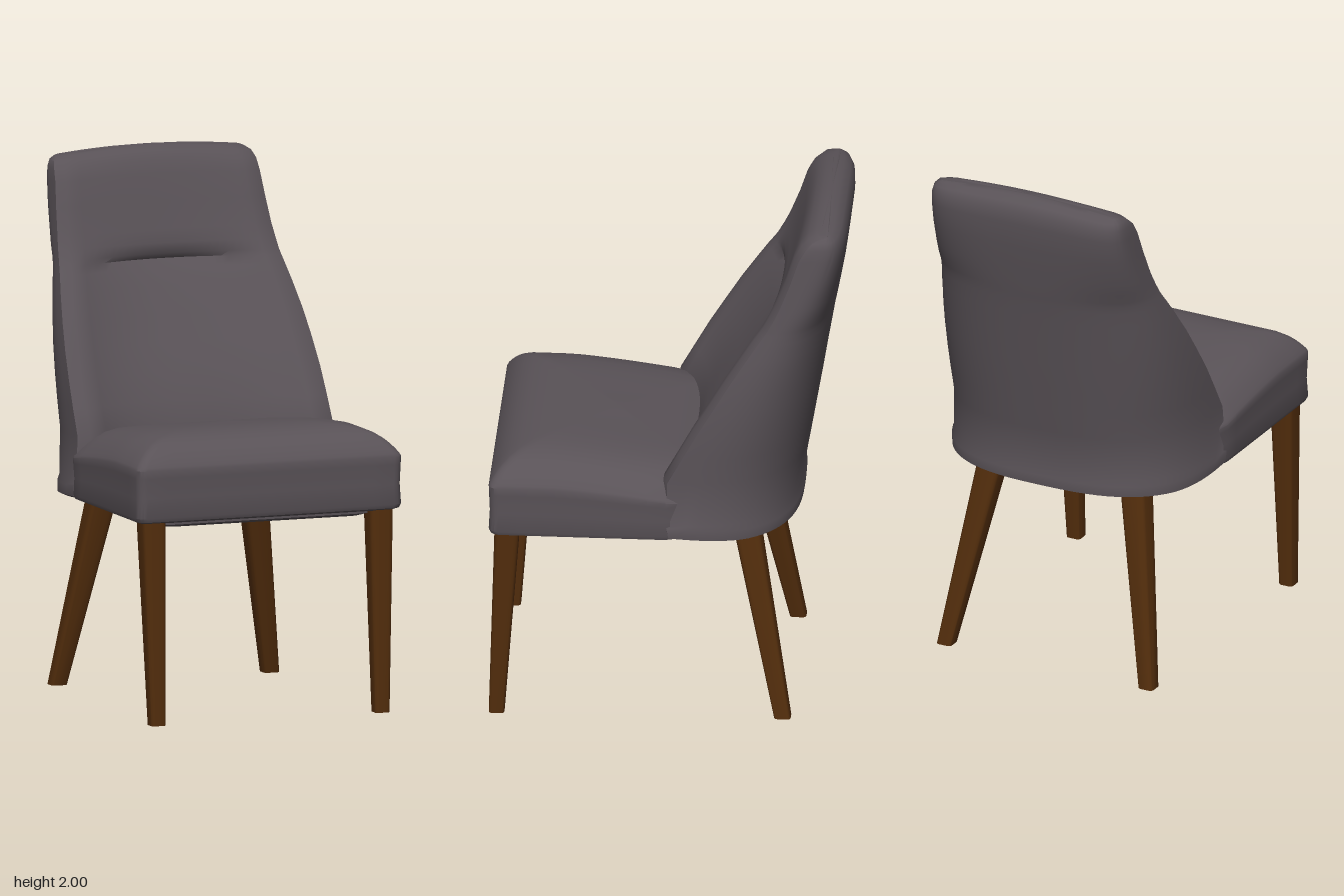
import * as THREE from 'three';
import { toCreasedNormals } from 'three/addons/utils/BufferGeometryUtils.js';

const { clamp, lerp } = THREE.MathUtils;

// Closed solid from horizontal rings, bottom to top, each anticlockwise seen from above
function loft(rings, crease = 0.9) {
  const n = rings[0].length;
  const pos = rings.flat(2);
  const index = [];
  for (let r = 0; r < rings.length - 1; r++) {
    for (let i = 0; i < n; i++) {
      const j = (i + 1) % n;
      const a = r * n + i, b = r * n + j, c = b + n, d = a + n;
      index.push(a, b, c, a, c, d);
    }
  }
  // fan caps
  [rings[0], rings[rings.length - 1]].forEach((ring, top) => {
    const centre = pos.length / 3;
    const mean = (k) => ring.reduce((s, p) => s + p[k], 0) / n;
    pos.push(mean(0), top ? Math.max(...ring.map((p) => p[1])) : mean(1), mean(2));
    const base = top ? (rings.length - 1) * n : 0;
    for (let i = 0; i < n; i++) {
      const a = base + i, b = base + ((i + 1) % n);
      if (top) index.push(centre, a, b);
      else index.push(centre, b, a);
    }
  });
  const geo = new THREE.BufferGeometry();
  geo.setAttribute('position', new THREE.Float32BufferAttribute(pos, 3));
  geo.setIndex(index);
  return toCreasedNormals(geo, crease);
}

// Rounded rectangle as [x, z] points
function roundedRect(hx, hz, radius, edgeSteps) {
  const corners = [[1, -1], [-1, -1], [-1, 1], [1, 1]];
  const pts = [];
  corners.forEach(([sx, sz], q) => {
    for (let k = 0; k <= 4; k++) {
      const a = (q + k / 4) * Math.PI / 2;
      pts.push([sx * (hx - radius) + radius * Math.cos(a), sz * (hz - radius) - radius * Math.sin(a)]);
    }
    const [nx, nz] = corners[(q + 1) % 4];
    const next = (q + 1) * Math.PI / 2;
    const end = [nx * (hx - radius) + radius * Math.cos(next), nz * (hz - radius) - radius * Math.sin(next)];
    const start = pts[pts.length - 1];
    for (let k = 1; k < edgeSteps; k++) {
      const t = k / edgeSteps;
      pts.push([lerp(start[0], end[0], t), lerp(start[1], end[1], t)]);
    }
  });
  return pts;
}

// Seat cushion: upright sides, a crisp upper edge, then a crowned top falling to the rear
function seatGeometry() {
  const cz = 0.205, hx = 0.533, hz = 0.455;
  const ring = (y, inset, scale) => roundedRect(hx - inset, hz - inset, 0.035, 12).map(([px, pz]) => {
    const z = cz + pz * scale;
    const x = px * scale * (1 - 0.6 * Math.max(0, -z));
    const fall = 0.15 * Math.max(0, 0.42 - z) ** 1.3 * clamp((y - 0.8) / 0.2, 0, 1);
    return [x, y - fall, z];
  });
  const sides = [[0.762, 0.025], [0.77, 0.006], [0.785, 0], [0.86, 0.004], [0.935, 0.001], [0.965, 0]];
  const crown = [0.99, 0.97, 0.94, 0.9, 0.84, 0.76, 0.65, 0.5, 0.3, 0.1];
  return loft([
    ...sides.map(([y, inset]) => ring(y, inset, 1)),
    ...crown.map((s) => ring(0.968 + 0.114 * (1 - s ** 7), 0, s)),
  ], 0.6);
}

// Backrest rows: height, half width, front edge z, front centre z, rear z
const BACK_ROWS = [
  [0.75, 0.505, -0.015, -0.06, -0.47],
  [0.76, 0.528, 0.005, -0.06, -0.492],
  [0.80, 0.53, 0.012, -0.06, -0.495],
  [0.825, 0.524, 0.015, -0.06, -0.485],
  [1.0, 0.513, 0.01, -0.085, -0.516],
  [1.1, 0.51, -0.045, -0.125, -0.533],
  [1.2, 0.505, -0.1, -0.175, -0.55],
  [1.3, 0.496, -0.16, -0.237, -0.567],
  [1.4, 0.483, -0.22, -0.3, -0.583],
  [1.5, 0.465, -0.285, -0.362, -0.6],
  [1.56, 0.452, -0.325, -0.405, -0.61],
  [1.59, 0.446, -0.347, -0.43, -0.616],
  [1.61, 0.442, -0.36, -0.414, -0.62],
  [1.65, 0.437, -0.382, -0.412, -0.627],
  [1.7, 0.43, -0.406, -0.428, -0.636],
  [1.8, 0.42, -0.445, -0.46, -0.653],
  [1.9, 0.411, -0.475, -0.49, -0.665],
  [1.95, 0.406, -0.5, -0.51, -0.663],
  [1.98, 0.396, -0.528, -0.532, -0.648],
  [1.995, 0.378, -0.556, -0.558, -0.622],
  [2.0, 0.365, -0.577, -0.578, -0.602],
];

// Wrapping backrest: rounded rear, hollow front with a head cushion crease
function backGeometry() {
  return loft(BACK_ROWS.map(([y, w, edge, centre, rear]) => {
    const pts = [];
    const upper = clamp((y - 1.6) / 0.3, 0, 1);
    const power = 2 / lerp(2.75, 5, upper);
    const hollow = lerp(3, 2, clamp((y - 1.1) / 0.5, 0, 1));
    const side = edge - 0.02;
    const add = (x, z) => {
      const sag = 0.02 * (x / w) ** 2 * clamp((y - 1.8) / 0.2, 0, 1);
      const hem = y < 0.81 ? 0.018 * clamp((z + 0.3) / 0.3, 0, 1) : 0;
      pts.push([x, y - sag + hem, z]);
    };
    for (let i = 0; i <= 40; i++) {
      const a = Math.PI * i / 40;
      const c = Math.cos(a), s = Math.max(0, Math.sin(a));
      add(w * Math.sign(c) * Math.abs(c) ** power, side - (side - rear) * s ** power);
    }
    for (let i = 0; i <= 28; i++) {
      const u = -0.98 + 1.96 * i / 28, m = Math.abs(u);
      const z = m < 0.85
        ? centre + (edge - centre) * (m / 0.85) ** hollow
        : edge - 0.016 * ((m - 0.85) / 0.13) ** 2;
      add(u * w, z);
    }
    return pts;
  }));
}

// Tapered, splayed leg; each end is [x, y, z, half width]
function legGeometry(foot, top) {
  return loft([foot, top].map(([x, y, z, r]) =>
    roundedRect(r, r, r * 0.45, 1).map(([px, pz]) => [x + px, y, z + pz])), 0.7);
}

export function createModel() {
  const fabric = new THREE.MeshStandardMaterial({ color: 0x595257 });
  fabric.name = 'greyFabric';
  const wood = new THREE.MeshStandardMaterial({ color: 0x522d0c });
  wood.name = 'darkWood';

  const chair = new THREE.Group();
  chair.name = 'diningChair';
  const add = (name, geometry, material) => {
    const mesh = new THREE.Mesh(geometry, material);
    mesh.name = name;
    chair.add(mesh);
  };

  add('seat', seatGeometry(), fabric);
  add('backrest', backGeometry(), fabric);

  // Shallow panel below the seat
  const panel = (y, inset) => roundedRect(0.44 - inset, 0.38 - inset, 0.06, 2).map(([x, z]) => [x, y, z + 0.23]);
  add('underPanel', loft([panel(0.738, 0.03), panel(0.75, 0), panel(0.78, 0)]), fabric);

  for (const [label, s] of [['Left', 1], ['Right', -1]]) {
    add('front' + label + 'Leg', legGeometry([s * 0.45, 0, 0.633, 0.029], [s * 0.457, 0.79, 0.592, 0.047]), wood);
    add('back' + label + 'Leg', legGeometry([s * 0.427, 0, -0.437, 0.031], [s * 0.292, 0.79, -0.285, 0.052]), wood);
  }
  return chair;
}
